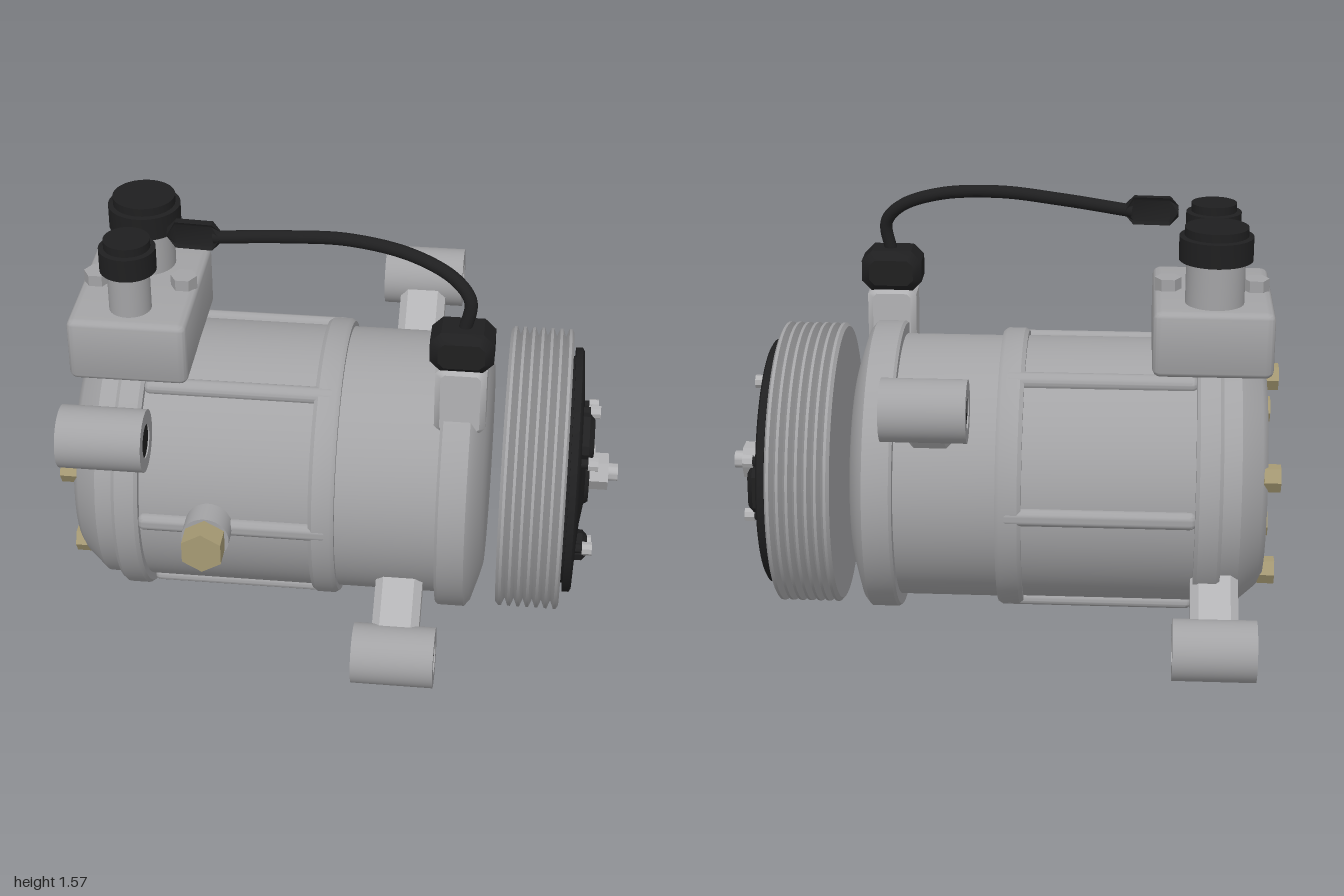
import * as THREE from 'three';
import { toCreasedNormals } from 'three/addons/utils/BufferGeometryUtils.js';
import { RoundedBoxGeometry } from 'three/addons/geometries/RoundedBoxGeometry.js';

const AXIS_Y = 0.547; // height of the shaft axis

export function createModel() {
  const model = new THREE.Group();
  model.name = 'compressor';
  const mat = (name, color) => {
    const m = new THREE.MeshStandardMaterial({ color });
    m.name = name;
    return m;
  };
  const metal = mat('cast metal', 0xa3a3a5);
  const bright = mat('bright metal', 0xb2b2b4);
  const black = mat('black plastic', 0x1f1f20);
  const brass = mat('brass', 0xa69a74);

  const add = (name, geo, material, x = 0, y = 0, z = 0, parent = model) => {
    const mesh = new THREE.Mesh(toCreasedNormals(geo, 0.6), material);
    mesh.name = name;
    mesh.position.set(x, y, z);
    parent.add(mesh);
    return mesh;
  };
  // solid turned around the x axis from [x, radius] points
  const turned = (pts, seg = 72) =>
    new THREE.LatheGeometry(pts.map(([x, r]) => new THREE.Vector2(r, x)), seg).rotateZ(-Math.PI / 2);
  const rodX = (r, len, seg = 40) => new THREE.CylinderGeometry(r, r, len, seg).rotateZ(-Math.PI / 2);
  const rodY = (r, len, seg = 40) => new THREE.CylinderGeometry(r, r, len, seg);
  const rodZ = (r, len, seg = 40) => new THREE.CylinderGeometry(r, r, len, seg).rotateX(Math.PI / 2);
  // box with cut corners and edges
  const chamferBox = (w, h, d, c) => {
    const a = w / 2 - c, b = h / 2 - c, k = c * 0.7;
    const s = new THREE.Shape([[-a + k, -b], [a - k, -b], [a, -b + k], [a, b - k], [a - k, b], [-a + k, b], [-a, b - k], [-a, -b + k]]
      .map(([x, y]) => new THREE.Vector2(x, y)));
    return new THREE.ExtrudeGeometry(s, { depth: d - 2 * c, bevelEnabled: true, bevelSize: c, bevelThickness: c, bevelSegments: 1 })
      .translate(0, 0, -d / 2 + c);
  };
  // group turned about the shaft: its local z points outward at the given angle
  const radial = (name, angle) => {
    const g = new THREE.Group();
    g.name = name;
    g.position.y = AXIS_Y;
    g.rotation.x = -angle;
    model.add(g);
    return g;
  };

  // housing with its flanges and front shoulder
  add('housing', turned([
    [-0.955, 0], [-0.955, 0.39], [-0.935, 0.42], [-0.86, 0.485], [-0.795, 0.487],
    [-0.795, 0.512], [-0.782, 0.522], [-0.713, 0.522], [-0.7, 0.512], [-0.7, 0.485],
    [-0.092, 0.485], [-0.092, 0.502], [-0.078, 0.512], [-0.015, 0.512], [0, 0.502], [0, 0.483],
    [0.36, 0.483], [0.36, 0.522], [0.37, 0.53], [0.465, 0.53], [0.485, 0.505], [0.515, 0.41], [0.525, 0.37], [0.525, 0],
  ]), metal, 0, AXIS_Y);

  // lengthwise ribs
  for (let i = 0; i < 6; i++) {
    const g = radial('rib', (i * Math.PI) / 3);
    add('ribBar', new RoundedBoxGeometry(0.69, 0.062, 0.08, 3, 0.024), metal, -0.36, 0, 0.473, g);
  }

  // rear cover bolts
  for (let i = 0; i < 5; i++) {
    const a = Math.PI / 2 + (i * Math.PI * 2) / 5;
    add('coverBolt', rodX(0.05, 0.06, 6), brass, -0.97, AXIS_Y + 0.37 * Math.sin(a), 0.37 * Math.cos(a));
  }

  // grooved pulley
  const groove = [[0.58, 0], [0.58, 0.505]];
  for (let i = 0; i < 7; i++) {
    const x = 0.596 + i * 0.0335;
    groove.push([x - 0.005, 0.518], [x + 0.005, 0.518]);
    if (i < 6) groove.push([x + 0.0168, 0.488]);
  }
  groove.push([0.81, 0.505], [0.81, 0]);
  add('pulley', turned(groove), metal, 0, AXIS_Y);

  // clutch plate, hub and shaft
  add('clutchPlate', turned([
    [0.805, 0], [0.805, 0.42], [0.82, 0.42], [0.82, 0.452], [0.845, 0.452], [0.852, 0.44], [0.86, 0.3], [0.868, 0.2],
    [0.88, 0.125], [0.895, 0.115], [0.895, 0.07], [0.885, 0.065], [0.885, 0],
  ]), black, 0, AXIS_Y);
  add('shaftNut', rodX(0.068, 0.085, 6), bright, 0.922, AXIS_Y);
  add('shaftTip', rodX(0.032, 0.05, 24), bright, 0.975, AXIS_Y);

  // clutch springs with their rivets
  for (let i = 0; i < 3; i++) {
    const g = radial('clutchSpring', Math.PI / 3 + (i * Math.PI * 2) / 3);
    add('springPad', chamferBox(0.1, 0.165, 0.06, 0.018).rotateY(Math.PI / 2), black, 0.872, 0, 0.278, g);
    for (const s of [-1, 1]) {
      add('rivetPost', rodX(0.018, 0.04, 12), black, 0.868, s * 0.104, 0.278, g);
      add('rivet', rodX(0.025, 0.036, 8), bright, 0.902, s * 0.104, 0.278, g);
    }
  }

  // mounting lugs: side in z, side in y, centre in x
  const lugs = [[1, 1, -0.777], [1, -1, 0.23], [-1, 1, 0.23], [-1, -1, -0.777]];
  const ring = new THREE.Shape().absarc(0, 0, 0.109, 0, Math.PI * 2);
  ring.holes.push(new THREE.Path().absarc(0, 0, 0.06, 0, Math.PI * 2, true));
  for (const [sz, sy, x] of lugs) {
    const g = radial('mount', Math.atan2(sy * 0.437, sz * 0.61));
    add('mountArm', chamferBox(0.17, 0.125, 0.27, 0.022), bright, x, 0, 0.555, g);
    const tube = new THREE.ExtrudeGeometry(ring, { depth: 0.295, bevelEnabled: false, curveSegments: 24 })
      .translate(0, 0, -0.1475).rotateY(Math.PI / 2);
    add('mountLug', tube, metal, x, 0, 0.75, g);
    add('mountBushing', rodX(0.0605, 0.285, 32), black, x, 0, 0.75, g);
  }

  // port block and its screws
  add('portBlock', new RoundedBoxGeometry(0.425, 0.24, 0.595, 3, 0.03), metal, -0.7525, 1.125, -0.003);
  for (const x of [-0.907, -0.593])
    add('blockScrew', rodY(0.048, 0.05, 6).rotateY(Math.PI / 6), metal, x, 1.262, 0);

  // ports with caps
  for (const [z, rs, rc] of [[-0.157, 0.104, 0.13], [0.167, 0.075, 0.1]]) {
    add('port', rodY(rs, 0.2), metal, -0.755, 1.31, z);
    add('portCap', new THREE.LatheGeometry([[0, 1.402], [rc, 1.402], [rc, 1.487], [rc - 0.018, 1.49], [rc - 0.018, 1.52], [0, 1.52]]
      .map(([r, y]) => new THREE.Vector2(r, y)), 40), black, -0.755, 0, z);
  }

  // side plug
  add('plugBoss', rodZ(0.085, 0.13), metal, -0.448, 0.55, 0.507);
  add('plugHex', rodZ(0.08, 0.09, 6), brass, -0.448, 0.55, 0.613);

  // connector on the front shoulder
  add('connectorBase', chamferBox(0.18, 0.27, 0.15, 0.02), bright, 0.425, 1.03, 0.262);
  add('connectorCap', chamferBox(0.222, 0.155, 0.168, 0.03), black, 0.425, 1.227, 0.262);

  // cable and its loose plug
  const path = new THREE.CatmullRomCurve3([
    [-0.46, 1.503, 0.093], [-0.2, 1.535, 0.12], [0.02, 1.552, 0.148], [0.24, 1.53, 0.192],
    [0.39, 1.47, 0.235], [0.447, 1.4, 0.26], [0.43, 1.29, 0.265],
  ].map((p) => new THREE.Vector3(...p)));
  add('cable', new THREE.TubeGeometry(path, 64, 0.023, 14), black);
  const plug = add('cablePlug', chamferBox(0.108, 0.1, 0.19, 0.03).rotateY(Math.PI / 2), black, -0.53, 1.507, 0.09);
  plug.rotation.y = -0.06;

  return model;
}
